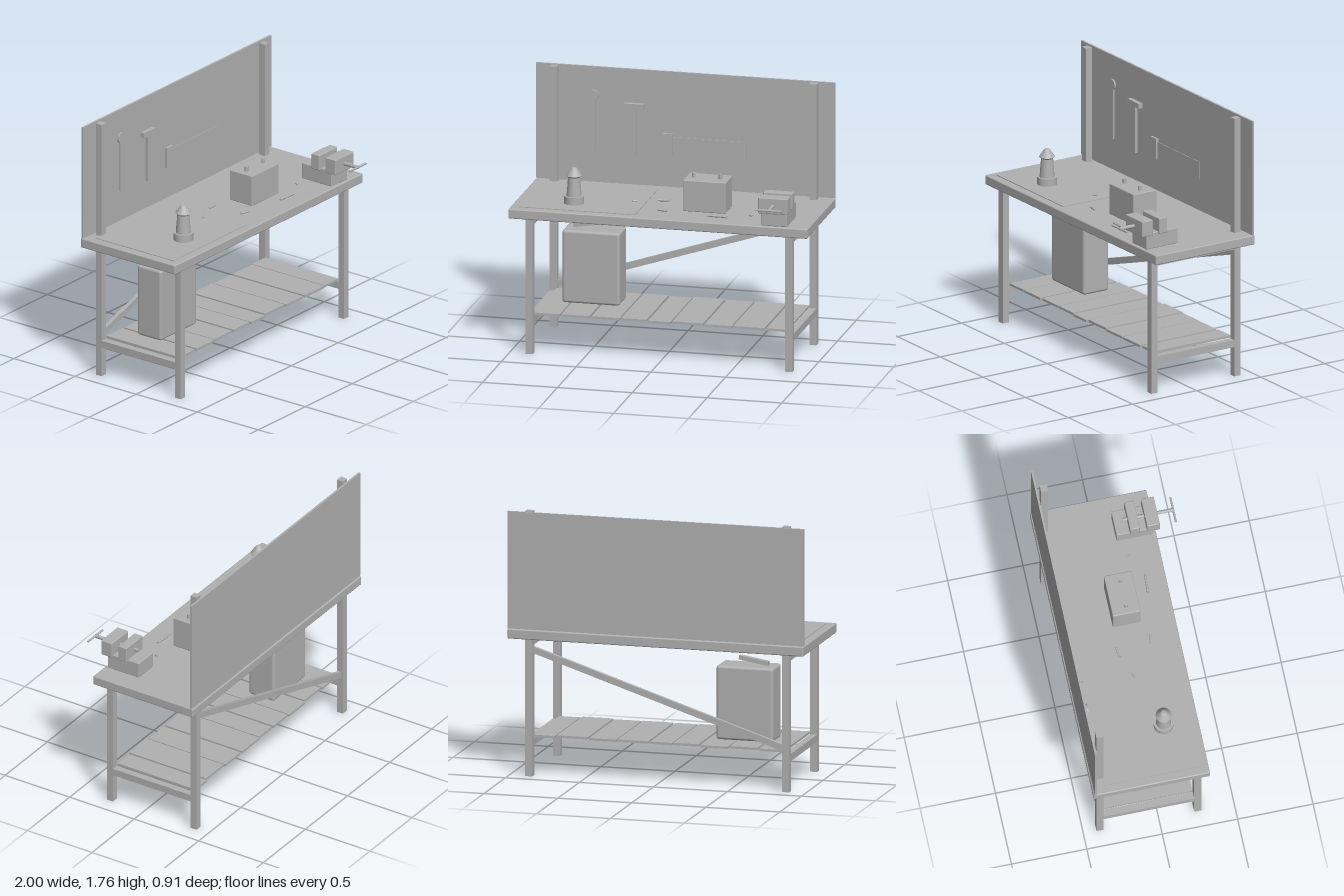
import * as THREE from 'three';
import { RoundedBoxGeometry } from 'three/addons/geometries/RoundedBoxGeometry.js';

export function createModel() {
  const model = new THREE.Group();
  model.name = 'workbench';
  const grey = new THREE.MeshStandardMaterial({ color: 0xb0b0b0 });
  grey.name = 'grey';

  function add(name, geometry, x = 0, y = 0, z = 0, parent = model) {
    const mesh = new THREE.Mesh(geometry, grey);
    mesh.name = name;
    mesh.position.set(x, y, z);
    parent.add(mesh);
    return mesh;
  }
  // Box given by its extents; an optional radius rounds the edges
  function box(name, [x0, x1], [y0, y1], [z0, z1], radius = 0, parent = model) {
    const size = [x1 - x0, y1 - y0, z1 - z0];
    const geometry = radius ? new RoundedBoxGeometry(...size, 3, radius) : new THREE.BoxGeometry(...size);
    return add(name, geometry, (x0 + x1) / 2, (y0 + y1) / 2, (z0 + z1) / 2, parent);
  }
  function group(name) {
    const g = new THREE.Group();
    g.name = name;
    model.add(g);
    return g;
  }

  // Bench top, work mat and tool board
  box('benchTop', [-1, 1], [0.915, 0.98], [-0.455, 0.318], 0.008);
  box('workMat', [-0.945, -0.165], [0.98, 0.985], [-0.375, 0.262]);
  box('toolBoard', [-1, 1], [0.982, 1.76], [-0.447, -0.433]);

  // Legs, board posts and side rails
  const frame = group('frame');
  for (const side of [-1, 1]) {
    const x = [side * 0.868 - 0.024, side * 0.868 + 0.024];
    box('frontLeg', x, [0, 0.915], [0.235, 0.282], 0, frame);
    box('backLeg', x, [0, 0.915], [-0.413, -0.366], 0, frame);
    box('boardPost', x, [0.98, 1.76], [-0.413, -0.366], 0, frame);
    box('upperRail', x, [0.868, 0.915], [-0.366, 0.235], 0, frame);
    box('lowerRail', x, [0.2, 0.248], [-0.366, 0.235], 0, frame);
  }

  // Diagonal brace between the back legs
  const brace = add('brace', new THREE.BoxGeometry(1.78, 0.042, 0.026), 0, 0.565, -0.39, frame);
  brace.rotation.z = Math.atan2(0.55, 1.69);

  // Shelf slats with uneven widths and ends
  const shelf = group('shelf');
  const seams = [-0.85, -0.67, -0.47, -0.27, -0.09, 0.07, 0.287, 0.48, 0.7, 0.85];
  for (let i = 0; i < seams.length - 1; i++) {
    const shift = [0, 0.006, -0.005][i % 3];
    const lift = (i % 2) * 0.003;
    box('slat', [seams[i] + 0.006, seams[i + 1] - 0.006], [0.252 + lift, 0.268 + lift],
      [-0.363 + shift, 0.232 + shift], 0, shelf);
  }

  // Canister on the shelf with its tilted handle
  box('canister', [-0.722, -0.338], [0.276, 0.766], [-0.208, -0.012], 0.018);
  const grip = add('canisterHandle', new THREE.BoxGeometry(0.2, 0.028, 0.035), -0.568, 0.796, -0.112);
  grip.rotation.z = 0.16;

  // Lantern: base, tapered body and conical cap
  const lantern = group('lantern');
  lantern.position.set(-0.615, 0.985, 0.09);
  add('lanternBase', new THREE.CylinderGeometry(0.065, 0.065, 0.05, 32), 0, 0.025, 0, lantern);
  add('lanternBody', new THREE.CylinderGeometry(0.038, 0.049, 0.14, 32), 0, 0.12, 0, lantern);
  add('lanternCap', new THREE.CylinderGeometry(0.02, 0.052, 0.048, 32), 0, 0.21, 0, lantern);
  add('lanternRim', new THREE.CylinderGeometry(0.052, 0.038, 0.012, 32), 0, 0.18, 0, lantern);
  add('lanternTip', new THREE.CylinderGeometry(0.012, 0.02, 0.006, 32), 0, 0.237, 0, lantern);

  // Battery with two terminals
  box('battery', [0.112, 0.398], [0.98, 1.19], [-0.092, 0.092], 0.006);
  for (const x of [0.165, 0.343])
    add('terminal', new THREE.CylinderGeometry(0.012, 0.012, 0.032, 16), x, 1.205, 0.006);

  // Bench vise
  const vise = group('vise');
  box('viseBase', [0.69, 0.86], [0.98, 1.088], [0.055, 0.298], 0.005, vise);
  box('fixedJaw', [0.677, 0.873], [1.073, 1.18], [0.143, 0.207], 0.006, vise);
  box('movingJaw', [0.677, 0.873], [1.073, 1.18], [0.255, 0.34], 0.006, vise);
  const screw = add('viseScrew', new THREE.CylinderGeometry(0.012, 0.012, 0.34, 16), 0.775, 1.127, 0.28, vise);
  screw.rotation.x = Math.PI / 2;
  const bar = add('viseHandle', new THREE.CylinderGeometry(0.007, 0.007, 0.176, 12), 0.775, 1.127, 0.448, vise);
  bar.rotation.z = Math.PI / 2;

  // Hanging tools
  const tools = group('hangingTools');
  box('wrenchShaft', [-0.632, -0.598], [1.2, 1.55], [-0.424, -0.413], 0, tools);
  const head = add('wrenchHead', new THREE.CylinderGeometry(0.036, 0.036, 0.011, 24), -0.615, 1.57, -0.418, tools);
  head.rotation.x = Math.PI / 2;
  box('hammerHandle', [-0.354, -0.321], [1.183, 1.5], [-0.421, -0.399], 0, tools);
  box('hammerHead', [-0.403, -0.273], [1.5, 1.535], [-0.425, -0.395], 0, tools);
  box('sawHandle', [-0.146, -0.08], [1.205, 1.346], [-0.422, -0.404], 0, tools);
  box('sawBlade', [-0.08, 0.413], [1.205, 1.324], [-0.417, -0.413], 0, tools);

  // Loose bolts on the bench: x, z, length, turn
  const bolts = group('looseBolts');
  for (const [x, z, length, turn] of [
    [-0.24, -0.033, 0.032, 0.4], [-0.063, -0.097, 0.072, 0.1], [-0.015, 0.131, 0.066, -0.2],
    [0.366, 0.184, 0.135, -0.06], [0.574, 0.106, 0.026, 0.9],
  ]) {
    const bolt = add('bolt', new THREE.CylinderGeometry(0.007, 0.007, length, 10), x, 0.988, z, bolts);
    bolt.rotation.set(0, turn, Math.PI / 2);
  }
  return model;
}
